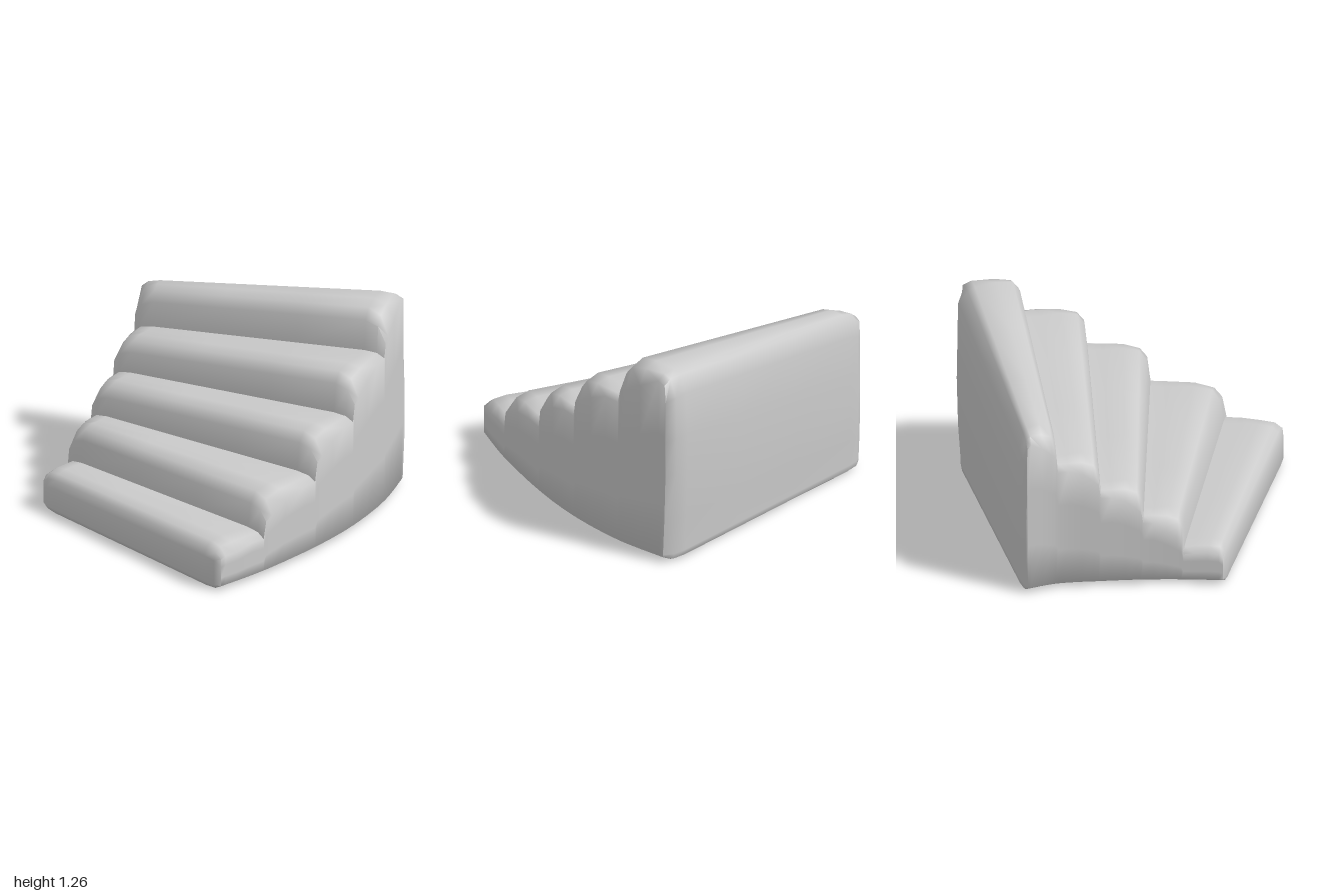
import * as THREE from 'three';
import { toCreasedNormals } from 'three/addons/utils/BufferGeometryUtils.js';

const STEPS = 5;
const curve = (pts) => new THREE.CatmullRomCurve3(pts.map(([x, z]) => new THREE.Vector3(x, 0, z)), false, 'catmullrom');

// plan curves: one point per step edge, from the lowest step to the back wall
const inner = curve([[-0.955, -0.6], [-0.71, -0.65], [-0.48, -0.71], [-0.24, -0.79], [0, -0.88], [0.185, -1.01]]);
const outer = curve([[-0.93, 1], [-0.57, 0.99], [-0.12, 0.93], [0.25, 0.84], [0.62, 0.69], [0.975, 0.47]]);
const innerTop = [0.25, 0.46, 0.64, 0.83, 1.05];
const outerTop = [0.29, 0.51, 0.76, 1.015, 1.275];

// worn step outline: [position within the step, drop below its top]
const NOSE = [[0.05, 0.08], [0.16, 0.015], [0.42, 0], [0.75, 0.01]];

// columns along the stair: t = distance in steps, drop = depth below the step's top
function makeColumns() {
  const cols = [];
  const add = (t, step, drop) => cols.push({ t, step, drop });
  for (let i = 0; i < STEPS; i++) {
    if (i === 0) add(0, 0, 0.09);
    else add(i, i - 1, 0.01); // foot of the riser
    NOSE.forEach(([o, d]) => add(i + o, i, i === 0 ? d * 0.5 : d));
  }
  add(4.86, 4, 0.035);
  add(4.96, 4, 0.15);
  add(5, 4, 0.42);
  return cols;
}

// rings across the width: v = 0 inner to 1 outer, end rings are rounded off
const RINGS = [
  { v: 0, end: 1 }, { v: 0.025, end: 0.25 }, { v: 0.07, end: 0 }, { v: 0.35, end: 0 }, { v: 0.65, end: 0 },
  { v: 0.92, end: 0 }, { v: 0.97, end: 0.25 }, { v: 1, end: 1 },
];

function place(t, v, y) {
  const u = THREE.MathUtils.clamp(t / STEPS, 0, 1);
  const p = inner.getPoint(u).lerp(outer.getPoint(u), v);
  p.y = y;
  return p;
}

function ringPoints(cols, { v, end }) {
  const top = [], bottom = [];
  cols.forEach(({ t, step, drop }) => {
    const y = THREE.MathUtils.lerp(innerTop[step], outerTop[step], v) - drop;
    // treads melt into a sloping ramp towards the side walls
    const ramp = Math.max(0.22, (0.1 + 0.235 * t) * THREE.MathUtils.lerp(0.84, 1, v));
    const soft = Math.min(y - 0.04, ramp);
    const inset = 0.12 * end;
    const tt = THREE.MathUtils.clamp(t, inset * 0.5, STEPS - inset);
    const lip = t > 4.99 ? 0.05 : t < 0.01 ? 0.03 : t > 4.95 ? 0.02 : 0;
    top.push(place(tt, v, THREE.MathUtils.lerp(y, soft, end)));
    bottom.push(place(Math.min(tt, STEPS - 0.05 - inset), v, Math.max(lip, 0.035 * end)));
  });
  return { top, bottom };
}

function stairGeometry() {
  const cols = makeColumns();
  const rings = RINGS.map((r) => ringPoints(cols, r));
  const pos = [];
  const tri = (...pts) => {
    const [a, b, c] = pts;
    // clamped columns can coincide; skip the empty triangles
    if (new THREE.Triangle(a, b, c).getArea() > 1e-8) pts.forEach((p) => pos.push(p.x, p.y, p.z));
  };
  const quad = (a, b, c, d) => {
    tri(a, b, c);
    tri(a, c, d);
  };

  // closed outline lofted from the inner to the outer side, with a banded back wall
  const loops = rings.map(({ top, bottom }) => {
    const a = top[top.length - 1], b = bottom[bottom.length - 1];
    const wall = [0.3, 0.7].map((f) => {
      const p = a.clone().lerp(b, f);
      p.x += 0.01;
      return p;
    });
    return [...top, ...wall, ...bottom.slice().reverse()];
  });
  for (let r = 0; r < loops.length - 1; r++) {
    const A = loops[r], B = loops[r + 1];
    for (let i = 0; i < A.length; i++) {
      const j = (i + 1) % A.length;
      quad(A[i], B[i], B[j], A[j]);
    }
  }

  // side walls, in bands from top to bottom; the last column follows the back wall
  const bands = [0, 0.3, 0.7, 1];
  const n = cols.length;
  [[0, false], [rings.length - 1, true]].forEach(([r, front]) => {
    const { top, bottom } = rings[r];
    const at = (i, k) => (i === n - 1 ? loops[r][n - 1 + k] : top[i].clone().lerp(bottom[i], bands[k]));
    for (let i = 0; i < n - 1; i++) {
      for (let k = 0; k < bands.length - 1; k++) {
        const a = at(i, k), b = at(i + 1, k), c = at(i + 1, k + 1), d = at(i, k + 1);
        if (front) quad(d, c, b, a);
        else quad(a, b, c, d);
      }
    }
  });

  const geometry = new THREE.BufferGeometry();
  geometry.setAttribute('position', new THREE.Float32BufferAttribute(pos, 3));
  return toCreasedNormals(geometry, 1.25);
}

export function createModel() {
  const group = new THREE.Group();
  group.name = 'curvedStaircase';
  const stairs = new THREE.Mesh(stairGeometry(), new THREE.MeshStandardMaterial({ color: 0xcccccc }));
  stairs.name = 'stoneSteps';
  group.add(stairs);
  return group;
}
